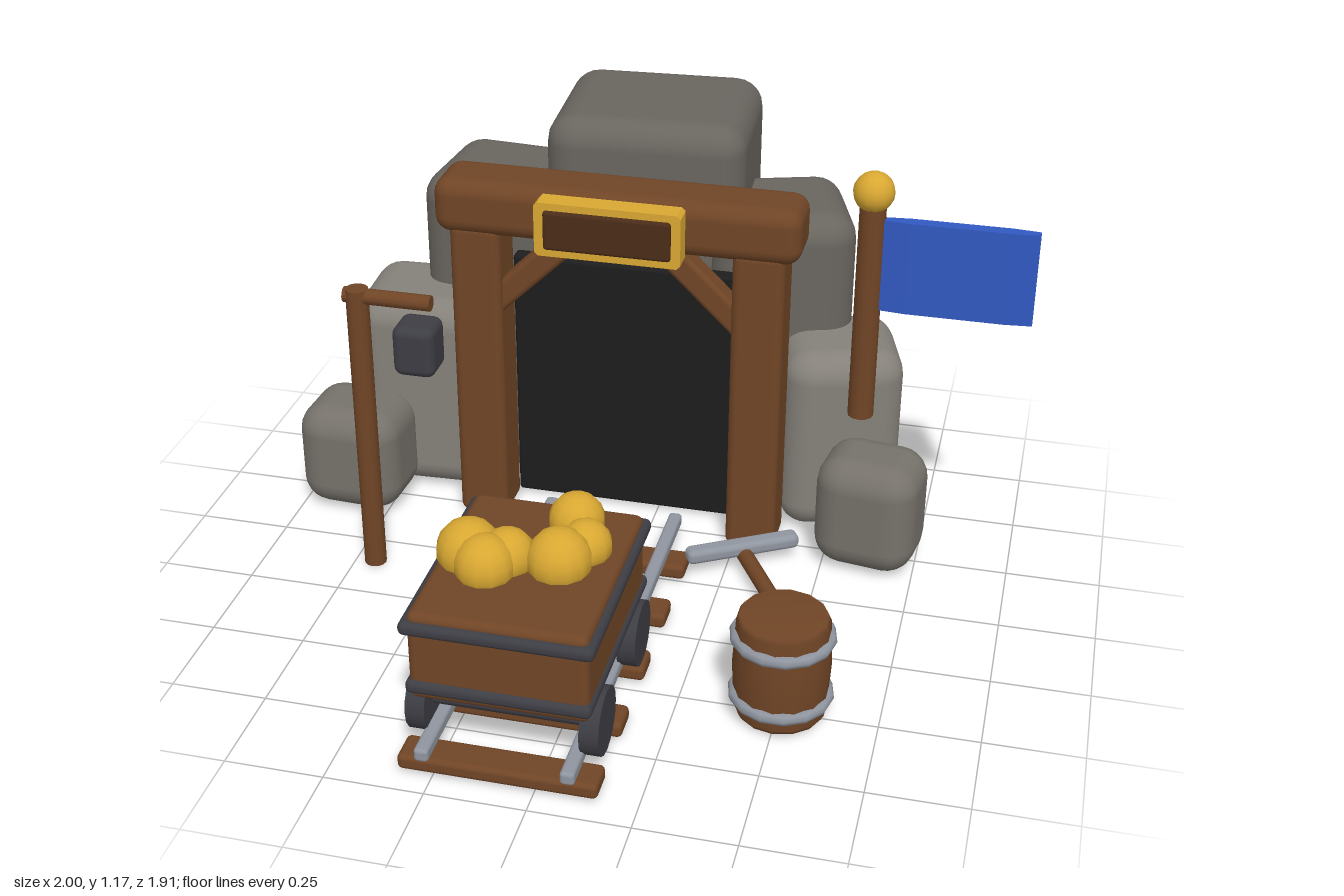
import * as THREE from 'three';
import { RoundedBoxGeometry } from 'three/addons/geometries/RoundedBoxGeometry.js';

const mat = (color) => new THREE.MeshStandardMaterial({ color });

export function createModel() {
  const model = new THREE.Group();
  const wood = mat(0x704526), darkWood = mat(0x4a2c18), gold = mat(0xd9a832), blue = mat(0x3159c0);
  const steel = mat(0x8f959f), iron = mat(0x3d3d44), black = mat(0x1d1d1d);
  const rockDark = mat(0x69655f), rockMid = mat(0x76726b), rockLight = mat(0x85817a);

  const group = (name, parent = model) => {
    const g = new THREE.Group();
    g.name = name;
    parent.add(g);
    return g;
  };
  const add = (parent, name, geometry, material, x = 0, y = 0, z = 0) => {
    const m = new THREE.Mesh(geometry, material);
    m.name = name;
    m.position.set(x, y, z);
    parent.add(m);
    return m;
  };
  // Rounded box given by its centre and size
  const box = (parent, name, material, [x, y, z], [w, h, d], r = 0.015) =>
    add(parent, name, new RoundedBoxGeometry(w, h, d, 3, r), material, x, y, z);
  // Round bar between two points
  const rod = (parent, name, material, a, b, r, sides = 12) => {
    const p = new THREE.Vector3(...a), q = new THREE.Vector3(...b);
    const m = add(parent, name, new THREE.CylinderGeometry(r, r, p.distanceTo(q), sides), material);
    m.position.copy(p).add(q).multiplyScalar(0.5);
    m.quaternion.setFromUnitVectors(new THREE.Vector3(0, 1, 0), q.sub(p).normalize());
    return m;
  };

  // Rock face: x, z, width, height, depth, turn, material
  const rocks = group('rocks');
  [
    [-0.09, -0.70, 0.55, 1.11, 0.49, 0.06, rockDark],
    [-0.49, -0.62, 0.43, 0.91, 0.38, -0.08, rockDark],
    [0.27, -0.645, 0.40, 0.87, 0.38, 0.31, rockDark],
    [-0.69, -0.455, 0.39, 0.59, 0.34, 0.05, rockLight],
    [0.48, -0.49, 0.33, 0.545, 0.33, 0.28, rockLight],
    [-0.85, -0.225, 0.295, 0.31, 0.26, -0.05, rockMid],
    [0.62, -0.24, 0.28, 0.325, 0.24, -0.15, rockMid],
  ].forEach(([x, z, w, h, d, turn, m]) => {
    box(rocks, 'rock', m, [x, 0.01 + h / 2, z], [w, h, d], 0.08).rotation.y = turn;
  });

  // Timber gate in front of the dark tunnel
  const gate = group('gate');
  const mid = -0.092;
  box(gate, 'tunnel', black, [mid, 0.385, -0.365], [0.64, 0.75, 0.045], 0.01);
  box(gate, 'lintel', wood, [mid, 0.95, -0.28], [0.99, 0.155, 0.185], 0.045);
  for (const s of [-1, 1]) {
    box(gate, 'gatePost', wood, [mid + s * 0.385, 0.45, -0.275], [0.14, 0.9, 0.15], 0.025);
    const brace = box(gate, 'brace', wood, [mid + s * 0.235, 0.77, -0.26], [0.07, 0.32, 0.07]);
    brace.rotation.z = s * 0.80;
  }

  // Sign: gold frame around a dark panel
  const sign = group('sign');
  const frame = new THREE.Shape();
  frame.moveTo(-0.185, -0.075).lineTo(0.185, -0.075).lineTo(0.195, -0.065).lineTo(0.195, 0.065)
    .lineTo(0.185, 0.075).lineTo(-0.185, 0.075).lineTo(-0.195, 0.065).lineTo(-0.195, -0.065).closePath();
  const opening = new THREE.Path();
  opening.moveTo(-0.165, -0.05).lineTo(-0.165, 0.05).lineTo(0.165, 0.05).lineTo(0.165, -0.05).closePath();
  frame.holes.push(opening);
  add(sign, 'signFrame', new THREE.ExtrudeGeometry(frame, { depth: 0.06, bevelEnabled: false }),
    gold, mid, 0.945, -0.19);
  box(sign, 'signPanel', darkWood, [mid, 0.945, -0.16], [0.34, 0.11, 0.08], 0.01);

  // Track
  const track = group('track');
  for (let i = 0; i < 5; i++) {
    box(track, 'sleeper', wood, [-0.09, 0.033, -0.03 + i * 0.2325], [0.49, 0.042, 0.09], 0.014);
  }
  for (const x of [-0.27, 0.085]) {
    box(track, 'rail', steel, [x, 0.07, 0.375], [0.036, 0.036, 1.16], 0.01);
  }

  // Mine cart with its load
  const cart = group('cart');
  const cz = 0.622;
  box(cart, 'cartBody', wood, [-0.093, 0.31, cz], [0.435, 0.24, 0.55], 0.02);
  box(cart, 'upperBand', iron, [-0.093, 0.393, cz], [0.468, 0.036, 0.582], 0.016);
  box(cart, 'lowerBand', iron, [-0.093, 0.228, cz], [0.45, 0.036, 0.575], 0.016);
  for (const z of [0.44, 0.8]) {
    rod(cart, 'axle', iron, [-0.3, 0.135, z], [0.115, 0.135, z], 0.02, 8);
    for (const s of [-1, 1]) {
      const x = -0.093 + s * 0.212;
      rod(cart, 'wheel', iron, [x - 0.024, 0.135, z], [x + 0.024, 0.135, z], 0.085, 16);
    }
  }
  [
    [-0.02, 0.45, 0.07], [0.03, 0.555, 0.065], [-0.015, 0.63, 0.08],
    [-0.235, 0.64, 0.08], [-0.18, 0.69, 0.075], [-0.14, 0.64, 0.068],
  ].forEach(([x, z, r]) => add(cart, 'nugget', new THREE.SphereGeometry(r, 12, 9), gold, x, 0.455, z));

  // Lantern on a bracket post
  const lamp = group('lampPost');
  rod(lamp, 'lampPole', wood, [-0.695, 0, 0.1], [-0.695, 0.835, 0.1], 0.03);
  rod(lamp, 'lampArm', wood, [-0.73, 0.815, 0.1], [-0.495, 0.815, 0.1], 0.021);
  box(lamp, 'lantern', iron, [-0.535, 0.69, 0.1], [0.112, 0.14, 0.112], 0.025);

  // Flag, thinner towards both ends
  const flag = group('flag');
  rod(flag, 'flagPole', wood, [0.583, 0.485, -0.178], [0.583, 1.09, -0.178], 0.034);
  add(flag, 'flagBall', new THREE.SphereGeometry(0.053, 14, 10), gold, 0.583, 1.118, -0.178);
  const plan = new THREE.Shape();
  plan.moveTo(0, -0.01).lineTo(0.07, -0.017).lineTo(0.32, -0.017).lineTo(0.39, -0.01)
    .lineTo(0.39, 0.01).lineTo(0.32, 0.017).lineTo(0.07, 0.017).lineTo(0, 0.01).closePath();
  const cloth = add(flag, 'flagCloth', new THREE.ExtrudeGeometry(plan, { depth: 0.25, bevelEnabled: false }),
    blue, 0.61, 0.798, -0.178);
  cloth.rotation.x = -Math.PI / 2;

  // Barrel with two hoops
  const barrel = group('barrel');
  barrel.position.set(0.505, 0, 0.495);
  const profile = [[0, 0.012], [0.108, 0.012], [0.115, 0.025], [0.122, 0.15], [0.115, 0.277], [0.108, 0.29], [0, 0.29]];
  const staves = new THREE.LatheGeometry(profile.map(([r, y]) => new THREE.Vector2(r, y)), 14);
  add(barrel, 'barrelBody', staves, wood);
  for (const y of [0.065, 0.232]) {
    const hoop = add(barrel, 'hoop', new THREE.TorusGeometry(0.115, 0.017, 8, 14), steel, 0, y, 0);
    hoop.rotation.x = Math.PI / 2;
  }

  // Pickaxe lying on the ground
  const pick = group('pickaxe');
  rod(pick, 'pickHandle', wood, [0.285, 0.045, -0.13], [0.52, 0.045, 0.275], 0.022, 10);
  box(pick, 'pickHead', steel, [0.29, 0.06, -0.118], [0.32, 0.042, 0.05], 0.016).rotation.y = 0.53;

  return model;
}
